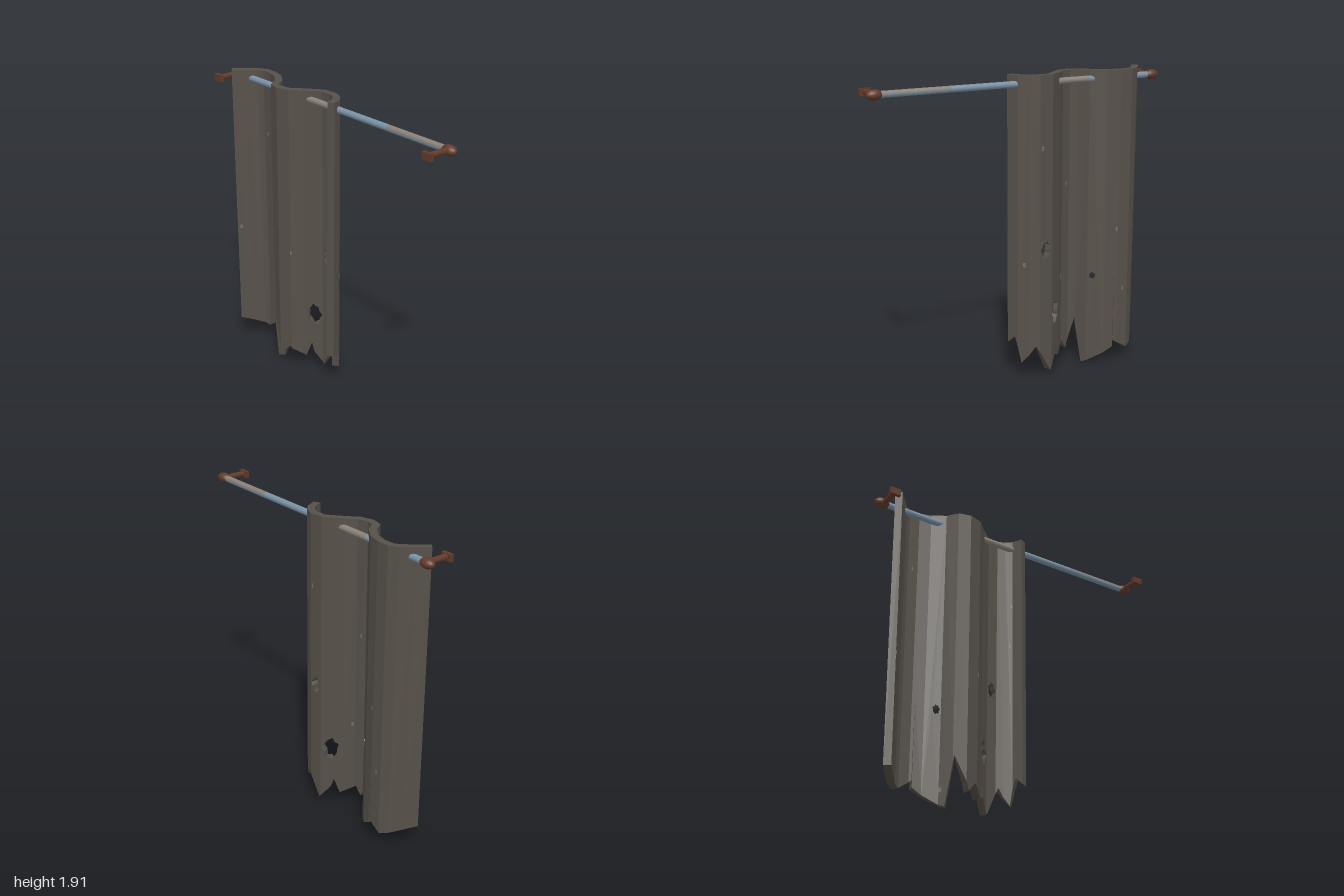
import * as THREE from 'three';
import { mergeGeometries } from 'three/addons/utils/BufferGeometryUtils.js';

const TOP = 1.91, THICK = 0.045, ROD_Y = 1.855, ROD_Z = -0.035;

// Folded centre line of the cloth seen from above: [x, z]
const FOLD = [[-0.885, 0.055], [-0.835, -0.01], [-0.78, -0.075], [-0.735, -0.1], [-0.66, -0.1], [-0.58, -0.078],
  [-0.495, -0.02], [-0.45, 0.045], [-0.385, 0.062], [-0.31, 0.04], [-0.25, -0.02], [-0.155, -0.095],
  [-0.075, -0.1], [-0.02, -0.08], [0.025, -0.04], [0.056, 0.025]];

// Ragged lower edge: [x, y]
const HEM = [[-0.9, 0.16], [-0.74, 0.09], [-0.6415, 0.15], [-0.64, 0.67], [-0.6385, 0.11], [-0.475, 0],
  [-0.445, 0.3], [-0.365, 0.1], [-0.325, 0.16], [-0.3, 0.14], [-0.245, 0.1], [-0.215, 0.2], [-0.2, 0.13],
  [-0.145, 0.045], [-0.055, 0.22], [0.012, 0.11], [0.035, 0.28], [0.07, 0.2]];

// Torn holes: [x, y, half width, half height]
const HOLES = [[-0.115, 0.835, 0.037, 0.065], [-0.2, 0.41, 0.042, 0.09], [-0.52, 0.59, 0.021, 0.035]];

function lerpTable(table, x) {
  for (let i = 1; i < table.length; i++) {
    const [x0, v0] = table[i - 1], [x1, v1] = table[i];
    if (x <= x1) return v0 + (v1 - v0) * (x - x0) / (x1 - x0);
  }
  return table[table.length - 1][1];
}

// Normals at the fold points, interpolated along the cloth
const NORMALS = FOLD.map((p, i) => {
  const a = FOLD[Math.max(i - 1, 0)], b = FOLD[Math.min(i + 1, FOLD.length - 1)];
  return new THREE.Vector2(a[1] - b[1], b[0] - a[0]).normalize();
});
const NX = FOLD.map((p, i) => [p[0], NORMALS[i].x]);
const NZ = FOLD.map((p, i) => [p[0], NORMALS[i].y]);

// Maps flat cloth coordinates and a depth offset onto the folded surface
function drape(x, y, d) {
  const drop = 1 - y / TOP;
  const flare = x < -0.6 ? 0.015 * drop * (-0.6 - x) / 0.3 : 0;
  return [x + lerpTable(NX, x) * d + flare, y, (lerpTable(FOLD, x) + lerpTable(NZ, x) * d) * (1 + 0.05 * drop)];
}

function bend(geometry, offset) {
  const p = geometry.attributes.position;
  for (let i = 0; i < p.count; i++) p.setXYZ(i, ...drape(p.getX(i), p.getY(i), offset(p.getZ(i))));
  geometry.computeVertexNormals();
  return geometry;
}

// One upright panel of cloth between two fold lines
function clothPanel(a, b) {
  const inner = HEM.filter(([x]) => x > a && x < b);
  const points = [[a, TOP], [a, lerpTable(HEM, a)], ...inner, [b, lerpTable(HEM, b)], [b, TOP]];
  const shape = new THREE.Shape(points.map(([x, y]) => new THREE.Vector2(x, y)));
  for (const [hx, hy, rx, ry] of HOLES) {
    if (hx < a || hx > b) continue;
    const rim = [];
    for (let i = 0; i < 14; i++) {
      const t = i / 14 * Math.PI * 2, r = i % 2 ? 0.72 : 1 - 0.1 * (i % 3);
      rim.push(new THREE.Vector2(hx + Math.cos(t) * rx * r, hy + Math.sin(t) * ry * r));
    }
    shape.holes.push(new THREE.Path(rim));
  }
  const panel = new THREE.ExtrudeGeometry(shape, { depth: 1, bevelEnabled: false });
  return bend(panel, z => (z - 0.5) * THICK);
}

export function createModel() {
  const group = new THREE.Group();
  const material = (name, color) => Object.assign(new THREE.MeshStandardMaterial({ color }), { name });
  const cloth = material('dark cloth', 0x565049);
  const fleck = material('pale fleck', 0x77726b);
  const blue = material('blue grey metal', 0x7a92a6);
  const grey = material('warm grey metal', 0x8a827a);
  const rust = material('rusty brown', 0x623a2a);

  function add(parent, name, geometry, mat, x = 0, y = 0, z = 0) {
    const mesh = new THREE.Mesh(geometry, mat);
    mesh.name = name;
    mesh.position.set(x, y, z);
    parent.add(mesh);
    return mesh;
  }

  // Curtain
  const panels = FOLD.slice(1).map((p, i) => clothPanel(FOLD[i][0], p[0]));
  add(group, 'curtain', mergeGeometries(panels), cloth);

  // Worn flecks on both faces of the cloth
  const spots = [[-0.87, 0.84, 1], [-0.7, 1.5, 1], [-0.31, 0.84, 1], [-0.35, 1.2, -1], [0.02, 1.43, 1], [0.01, 1.15, 1],
    [-0.49, 0.1, 1], [-0.09, 1.47, -1], [-0.65, 0.9, -1], [-0.7, 0.5, -1], [0.0, 0.75, -1], [-0.3, 0.6, -1]];
  const flecks = spots.map(([x, y, side]) => {
    const g = new THREE.BoxGeometry(0.009, 0.026, 0.004);
    g.translate(x, y, 0);
    return bend(g.toNonIndexed(), z => side * THICK / 2 + z);
  });
  add(group, 'wornFlecks', mergeGeometries(flecks), fleck);

  // Rod in alternating tones, the last length being grey on its upper half
  const rod = new THREE.Group();
  rod.name = 'rod';
  group.add(rod);
  function rodPart(a, b, mat, start = 0, sweep = Math.PI * 2) {
    const g = new THREE.CylinderGeometry(0.02, 0.02, b - a, sweep > 4 ? 12 : 6, 1, true, start, sweep);
    g.rotateZ(Math.PI / 2);
    add(rod, 'rodLength', g, mat, (a + b) / 2, ROD_Y, ROD_Z);
  }
  rodPart(-0.94, -0.47, blue);
  rodPart(-0.47, 0.02, grey);
  rodPart(0.02, 0.48, blue);
  rodPart(0.48, 0.94, grey, 0, Math.PI);
  rodPart(0.48, 0.94, blue, Math.PI, Math.PI);

  // End knobs with wall brackets
  for (const side of [-1, 1]) {
    const end = new THREE.Group();
    end.name = side > 0 ? 'leftBracket' : 'rightBracket';
    group.add(end);
    const knob = new THREE.SphereGeometry(1, 16, 10);
    knob.rotateZ(Math.PI / 2);
    knob.scale(0.05, 0.031, 0.033);
    add(end, 'knob', knob, rust, side * 0.95, ROD_Y, ROD_Z);
    const arm = new THREE.CylinderGeometry(0.018, 0.018, 0.15, 10);
    arm.rotateX(Math.PI / 2);
    add(end, 'arm', arm, rust, side * 0.942, ROD_Y, 0.035);
    add(end, 'wallPlate', new THREE.BoxGeometry(0.068, 0.042, 0.024), rust, side * 0.942, ROD_Y, 0.115);
  }
  return group;
}
